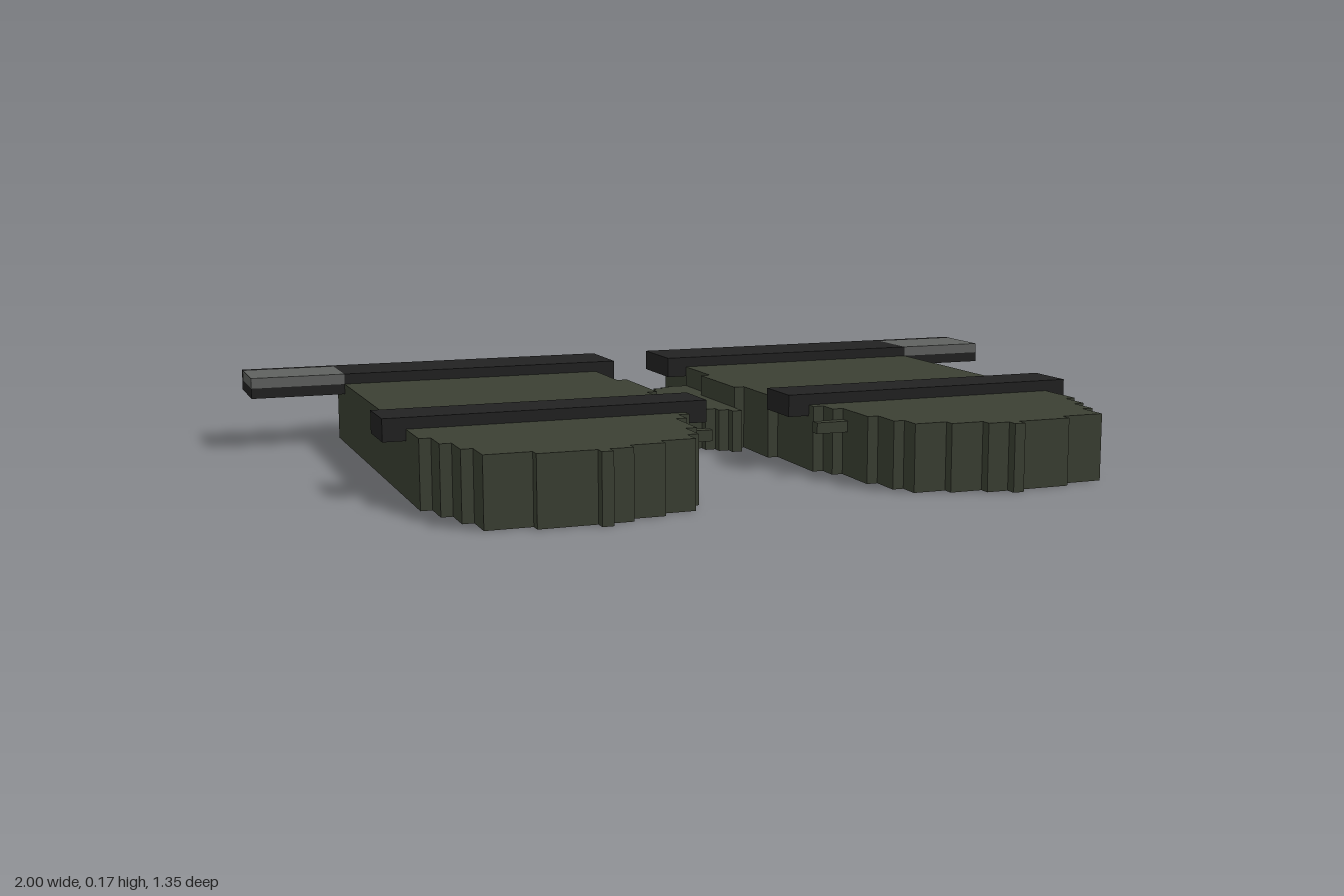
import * as THREE from 'three';

const mat = (name, color) => {
  const m = new THREE.MeshStandardMaterial({ color });
  m.name = name;
  return m;
};

export function createModel() {
  const olive = mat('olive', 0x3b4033);
  const black = mat('black', 0x222222);
  const grey = mat('grey', 0x606260);
  const group = new THREE.Group();

  // Plan outline [x, z] raised from the ground to a height
  function slab(name, points, height, parent) {
    const shape = new THREE.Shape(points.map(([x, z]) => new THREE.Vector2(x, -z)));
    const geo = new THREE.ExtrudeGeometry(shape, { depth: height, bevelEnabled: false });
    geo.rotateX(-Math.PI / 2);
    const mesh = new THREE.Mesh(geo, olive);
    mesh.name = name;
    parent.add(mesh);
  }

  // Box given by its limits, placed on one side of the model
  function block(name, material, side, [x0, x1], [y0, y1], [z0, z1], parent) {
    const mesh = new THREE.Mesh(new THREE.BoxGeometry(x1 - x0, y1 - y0, z1 - z0), material);
    mesh.position.set(side * (x0 + x1) / 2, (y0 + y1) / 2, (z0 + z1) / 2);
    mesh.name = name;
    parent.add(mesh);
  }

  // Stair-stepped outline: each entry is [x, z], joined by right angles
  function stepped(corners) {
    const out = [];
    corners.forEach(([x, z], i) => {
      if (i) out.push([x, corners[i - 1][1]]);
      out.push([x, z]);
    });
    return out;
  }

  // Outer edge front to toe, then inner edge back to the rear
  const padOutline = stepped([
    [0.15, -0.675], [0.75, -0.55], [0.775, 0.4], [0.75, 0.475], [0.725, 0.55],
    [0.7, 0.625], [0.6, 0.65], [0.475, 0.675], [0.45, 0.65], [0.4, 0.625],
    [0.325, 0.6], [0.25, 0.55], [0.225, 0.475], [0.2, 0.35], [0.175, 0.3],
    [0.15, 0.1], [0.125, -0.05], [0.1, -0.275], [0.125, -0.45], [0.15, -0.675],
  ]);

  for (const side of [1, -1]) {
    const half = new THREE.Group();
    half.name = side > 0 ? 'leftHalf' : 'rightHalf';
    group.add(half);
    slab('pad', padOutline.map(([x, z]) => [side * x, z]), 0.15, half);
    block('innerTab', olive, side, [0.125, 0.21], [0.1, 0.125], [0.35, 0.375], half);

    // Front strap, and rear strap with a light tip
    block('frontStrap', black, side, [0.1, 0.825], [0.125, 0.175], [0.15, 0.275], half);
    block('rearStrap', black, side, [0.075, 0.775], [0.125, 0.175], [-0.625, -0.45], half);
    block('tipBase', black, side, [0.775, 1], [0.125, 0.15], [-0.625, -0.45], half);
    block('tipEdge', black, side, [0.775, 1], [0.15, 0.175], [-0.625, -0.6], half);
    block('tipPlate', grey, side, [0.775, 1], [0.15, 0.175], [-0.6, -0.45], half);
  }

  // Low bridge between the pads, with stepped front and rear edges
  const bridgeHalf = stepped([
    [0, -0.4], [0.025, -0.4], [0.05, -0.425], [0.075, -0.45], [0.13, -0.05],
    [0.1, 0], [0.075, -0.025], [0.05, -0.05], [0.025, -0.075], [0, -0.075],
  ]);
  // Rear steps run outward, so their corners use the new z at the old x
  const rear = [[0.025, -0.4], [0.025, -0.425], [0.05, -0.425], [0.05, -0.44], [0.075, -0.44], [0.075, -0.45], [0.13, -0.45]];
  const front = bridgeHalf.filter(([x, z]) => z > -0.1 && x > 0);
  const right = [...rear, ...front];
  const left = right.map(([x, z]) => [-x, z]).reverse();
  slab('bridge', [...right, ...left], 0.1, group);

  return group;
}
